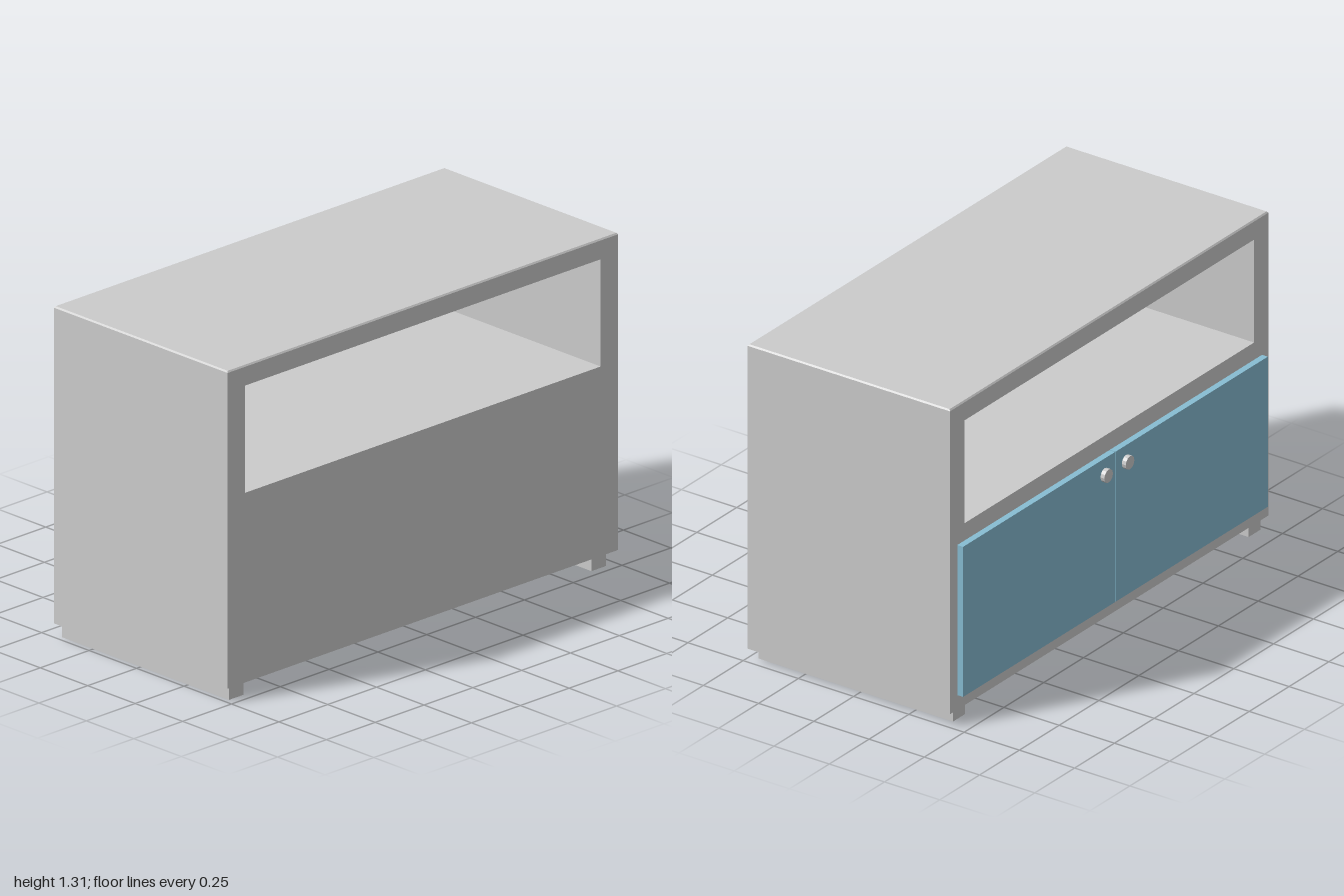
import * as THREE from 'three';

const grey = new THREE.MeshStandardMaterial({ color: 0xcccccc, flatShading: true });
const blue = new THREE.MeshStandardMaterial({ color: 0x87bdd3, flatShading: true });

export function createModel() {
  const model = new THREE.Group();

  const add = (name, geometry, material = grey) => {
    const mesh = new THREE.Mesh(geometry, material);
    mesh.name = name;
    model.add(mesh);
    return mesh;
  };

  // Box given by its lower and upper limits on each axis
  const box = (name, [x0, x1], [y0, y1], [z0, z1], material) => {
    const mesh = add(name, new THREE.BoxGeometry(x1 - x0, y1 - y0, z1 - z0), material);
    mesh.position.set((x0 + x1) / 2, (y0 + y1) / 2, (z0 + z1) / 2);
    return mesh;
  };

  const back = -0.436, front = 0.48;
  const rimY = 1.3, topY = 1.306, bevel = 0.005;

  // Cabinet body with the open shelf running right through
  const outline = new THREE.Shape([[-1, 0.055], [1, 0.055], [1, rimY], [-1, rimY]].map(p => new THREE.Vector2(...p)));
  outline.holes.push(new THREE.Path([[-0.91, 0.803], [-0.91, 1.226], [0.91, 1.226], [0.91, 0.803]].map(p => new THREE.Vector2(...p))));
  const body = add('cabinetBody', new THREE.ExtrudeGeometry(outline, { depth: front - back, bevelEnabled: false }));
  body.position.z = back;

  // Chamfered top edge: the upper corners of a thin slab are drawn inwards
  const cap = box('topChamfer', [-1, 1], [rimY, topY], [back, front]);
  const pos = cap.geometry.attributes.position;
  for (let i = 0; i < pos.count; i++) {
    if (pos.getY(i) < 0) continue;
    pos.setX(i, pos.getX(i) - Math.sign(pos.getX(i)) * bevel);
    pos.setZ(i, pos.getZ(i) - Math.sign(pos.getZ(i)) * bevel);
  }
  cap.geometry.computeVertexNormals();

  // Floor runners
  box('rightRunner', [-0.978, -0.903], [0, 0.055], [-0.416, 0.464]);
  box('leftRunner', [0.878, 0.953], [0, 0.055], [-0.416, 0.464]);

  // Pair of doors
  box('rightDoor', [-0.96, -0.004], [0.115, 0.732], [-0.462, back], blue);
  box('leftDoor', [0, 0.954], [0.115, 0.732], [-0.462, back], blue);

  // Round door knobs
  for (const [name, x] of [['rightKnob', -0.07], ['leftKnob', 0.064]]) {
    const knob = add(name, new THREE.CylinderGeometry(0.027, 0.027, 0.018, 12).rotateX(Math.PI / 2));
    knob.position.set(x, 0.665, -0.471);
  }

  return model;
}
